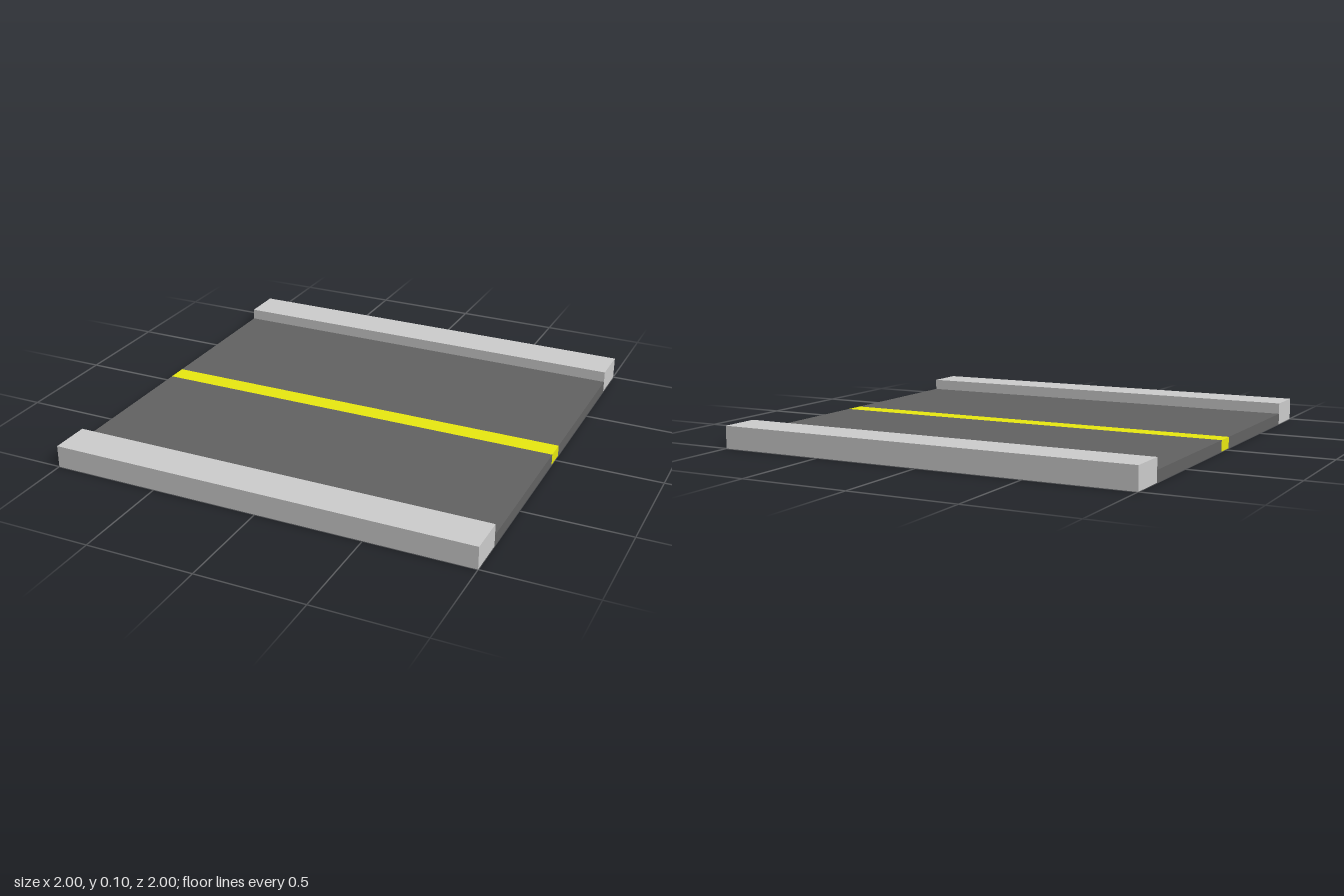
import * as THREE from 'three';

const LENGTH = 2;
const WALK_INNER = 0.81, WALK_HEIGHT = 0.104;
const ROAD_HEIGHT = 0.052, STRIPE_HALF = 0.048;

// Full-length slab standing on the ground between two z positions
function slab(name, color, height, z0, z1) {
  const mesh = new THREE.Mesh(
    new THREE.BoxGeometry(LENGTH, height, z1 - z0),
    new THREE.MeshStandardMaterial({ color })
  );
  mesh.name = name;
  mesh.position.set(0, height / 2, (z0 + z1) / 2);
  return mesh;
}

export function createModel() {
  const group = new THREE.Group();
  group.name = 'roadSection';

  // Raised pavements along the front and back edges
  group.add(slab('frontSidewalk', 0xcccccc, WALK_HEIGHT, WALK_INNER, 1));
  group.add(slab('backSidewalk', 0xcccccc, WALK_HEIGHT, -1, -WALK_INNER));

  // Asphalt lanes on either side of the centre line
  group.add(slab('frontLane', 0x626262, ROAD_HEIGHT, STRIPE_HALF, WALK_INNER));
  group.add(slab('backLane', 0x626262, ROAD_HEIGHT, -WALK_INNER, -STRIPE_HALF));

  // Yellow centre line, flush with the asphalt
  group.add(slab('centreLine', 0xe8e810, ROAD_HEIGHT, -STRIPE_HALF, STRIPE_HALF));

  return group;
}
